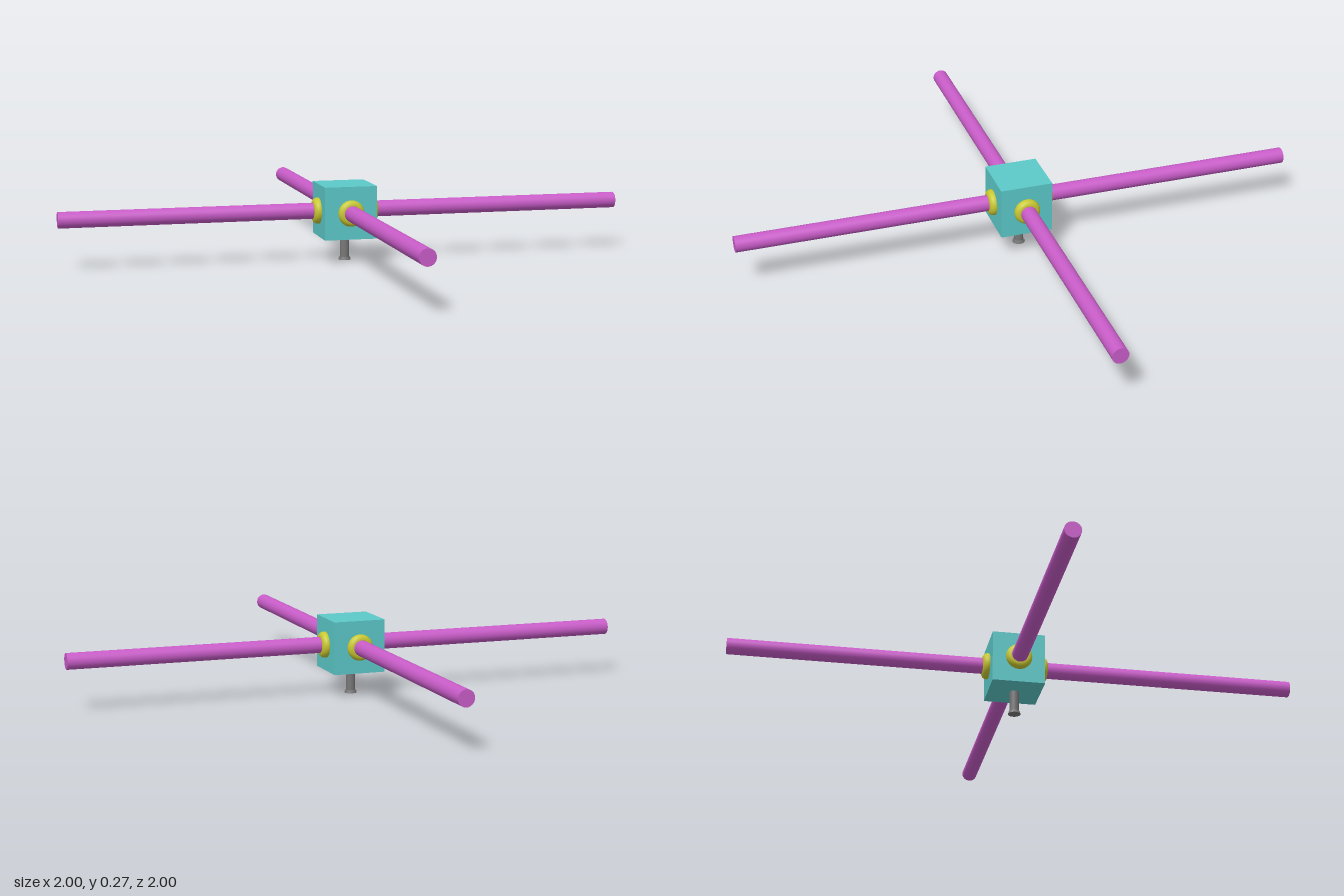
import * as THREE from 'three';

const HUB = 0.184, CENTER_Y = 0.176, HUB_X = -0.004;

const material = (color) => new THREE.MeshStandardMaterial({ color });

function addMesh(parent, name, geometry, mat) {
  const mesh = new THREE.Mesh(geometry, mat);
  mesh.name = name;
  parent.add(mesh);
  return mesh;
}

export function createModel() {
  const model = new THREE.Group();
  model.name = 'fourArmHub';
  const teal = material(0x5cc8c8), pink = material(0xc85cc8);
  const yellow = material(0xc8c832), steel = material(0x777777);

  // Central cube
  addMesh(model, 'hub', new THREE.BoxGeometry(HUB, HUB, HUB), teal).position.set(HUB_X, CENTER_Y, 0);

  // Four arms, each a round rod with a rounded collar at the hub face
  const names = ['leftArm', 'backArm', 'rightArm', 'frontArm'];
  names.forEach((name, i) => {
    const arm = new THREE.Group();
    arm.name = name;
    arm.position.set(HUB_X, CENTER_Y, 0);
    arm.rotation.y = i * Math.PI / 2;

    const start = HUB / 2 - 0.02;
    const end = 1 - (i === 0 ? HUB_X : i === 2 ? -HUB_X : 0);
    const rod = addMesh(arm, 'rod', new THREE.CylinderGeometry(0.028, 0.028, end - start, 32), pink);
    rod.rotation.z = -Math.PI / 2;
    rod.position.x = (start + end) / 2;

    const collar = addMesh(arm, 'collar', new THREE.TorusGeometry(0.028, 0.018, 16, 40), yellow);
    collar.rotation.y = Math.PI / 2;
    collar.position.x = HUB / 2 + 0.005;
    model.add(arm);
  });

  // Short mounting pin with a thin foot disc under the hub
  const pinTop = CENTER_Y - HUB / 2 + 0.01;
  addMesh(model, 'pin', new THREE.CylinderGeometry(0.016, 0.016, pinTop, 24), steel)
    .position.set(HUB_X, pinTop / 2, 0);
  addMesh(model, 'pinFoot', new THREE.CylinderGeometry(0.019, 0.022, 0.01, 24), steel)
    .position.set(HUB_X, 0.005, 0);

  return model;
}
